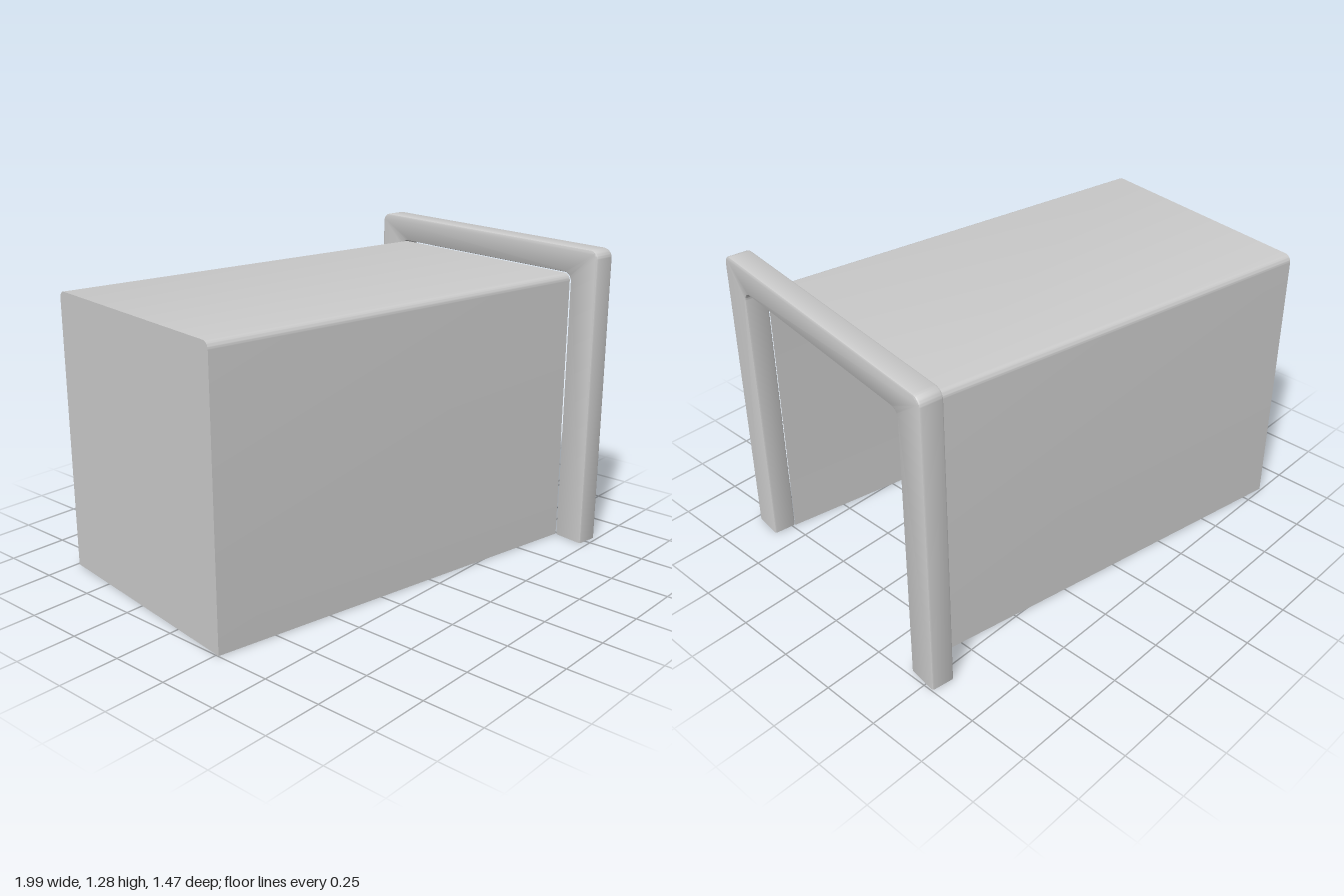
import * as THREE from 'three';
import { toCreasedNormals } from 'three/addons/utils/BufferGeometryUtils.js';

const material = new THREE.MeshStandardMaterial({ color: 0xcccccc, side: THREE.DoubleSide });
const YAW = 1.426; // direction the doorway faces
const across = new THREE.Vector3(Math.cos(YAW), 0, -Math.sin(YAW));

// Trace an arch with rounded upper corners, from its left foot to its right foot
function traceArch(path, half, height, radius, foot) {
  path.moveTo(-half, foot);
  path.lineTo(-half, height - radius);
  path.absarc(-half + radius, height - radius, radius, Math.PI, Math.PI / 2, true);
  path.lineTo(half - radius, height);
  path.absarc(half - radius, height - radius, radius, Math.PI / 2, 0, true);
  path.lineTo(half, foot);
  return path;
}

// Remove the triangles whose three corners all pass the test
function dropFaces(geometry, test) {
  const source = geometry.index ? geometry.toNonIndexed() : geometry;
  const p = source.attributes.position;
  const kept = [];
  const v = new THREE.Vector3();
  for (let i = 0; i < p.count; i += 3) {
    const corners = [0, 1, 2].map((k) => v.fromBufferAttribute(p, i + k).toArray());
    if (!corners.every(test)) kept.push(...corners.flat());
  }
  const result = new THREE.BufferGeometry();
  result.setAttribute('position', new THREE.Float32BufferAttribute(kept, 3));
  return result;
}

// Hollow door frame with softened edges, open under its two legs
function doorFrame() {
  const halfDepth = 0.048, bevel = 0.008, foot = -0.05;
  const shape = traceArch(new THREE.Shape(), 0.645, 1.283, 0.04, foot);
  const inner = traceArch(new THREE.Path(), 0.51, 1.172, 0.035, foot);
  inner.getPoints(6).reverse().forEach((q) => shape.lineTo(q.x, q.y));
  shape.closePath();
  const geo = new THREE.ExtrudeGeometry(shape, {
    depth: 2 * (halfDepth - bevel), curveSegments: 6,
    bevelThickness: bevel, bevelSize: bevel, bevelOffset: -bevel, bevelSegments: 2,
  });
  geo.translate(0, 0, bevel - halfDepth);
  // trim the feet to the ground
  const p = geo.attributes.position;
  for (let i = 0; i < p.count; i++) p.setY(i, Math.max(0, p.getY(i)));
  const open = dropFaces(geo, (c) => c[1] < 1e-4);
  const mesh = new THREE.Mesh(toCreasedNormals(open, 0.6), material);
  mesh.name = 'doorFrame';
  mesh.rotation.y = YAW;
  mesh.position.set(0.855, 0, 0.089);
  return mesh;
}

// Thin slanted tunnel behind the frame: closed far end, no floor
function tunnel() {
  const start = new THREE.Vector3(0.81, 0, 0.082);
  const end = new THREE.Vector3(-0.925, 0, -0.24);
  const shape = traceArch(new THREE.Shape(), 0.507, 1.17, 0.03, 0);
  const geo = new THREE.ExtrudeGeometry(shape, { depth: 1, bevelEnabled: false, curveSegments: 6 });
  const shell = dropFaces(dropFaces(geo, (c) => c[1] < 1e-4), (c) => c[2] > 0.999);
  const shear = new THREE.Matrix4()
    .makeBasis(across, new THREE.Vector3(0, 1, 0), start.clone().sub(end))
    .setPosition(end);
  shell.applyMatrix4(shear);
  const mesh = new THREE.Mesh(toCreasedNormals(shell, 0.6), material);
  mesh.name = 'tunnel';
  return mesh;
}

export function createModel() {
  const model = new THREE.Group();
  model.name = 'tunnelDoorway';
  model.add(doorFrame(), tunnel());
  return model;
}
